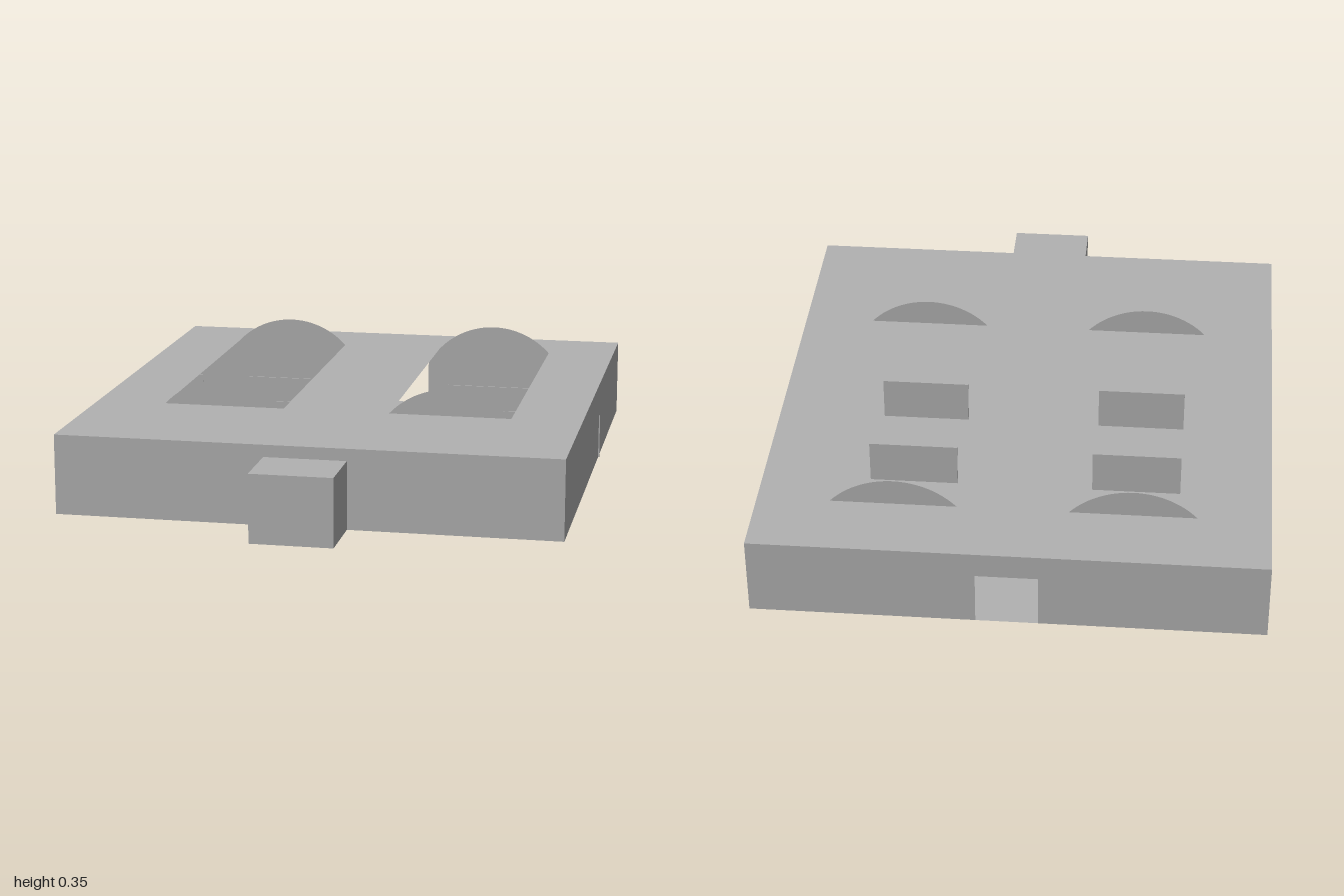
import * as THREE from 'three';

const W = 0.826, BACK = -1, FRONT = 0.79, H = 0.265; // hall extents

export function createModel() {
  const group = new THREE.Group();
  const grey = new THREE.MeshStandardMaterial({ color: 0xb2b2b2, side: THREE.DoubleSide });
  grey.name = 'plain grey';

  const add = (name, geometry, x = 0, y = 0, z = 0) => {
    const mesh = new THREE.Mesh(geometry, grey);
    mesh.name = name;
    mesh.position.set(x, y, z);
    group.add(mesh);
    return mesh;
  };
  const rect = (Type, x0, y0, x1, y1) => new Type([
    new THREE.Vector2(x0, y0), new THREE.Vector2(x1, y0),
    new THREE.Vector2(x1, y1), new THREE.Vector2(x0, y1),
  ]);

  // Floor
  const depth = FRONT - BACK, midZ = (FRONT + BACK) / 2;
  add('floor', new THREE.PlaneGeometry(2 * W, depth).rotateX(Math.PI / 2), 0, 0, midZ);

  // Roof with two long skylight openings
  const lightIn = 0.18, lightOut = 0.59, lightBack = -0.76, lightFront = 0.295;
  const roof = rect(THREE.Shape, -W, -FRONT, W, -BACK);
  roof.holes.push(
    rect(THREE.Path, lightIn, -lightFront, lightOut, -lightBack),
    rect(THREE.Path, -lightOut, -lightFront, -lightIn, -lightBack),
  );
  add('roof', new THREE.ShapeGeometry(roof).rotateX(-Math.PI / 2), 0, H, 0);

  // Front wall and side walls
  add('frontWall', new THREE.PlaneGeometry(2 * W, H), 0, H / 2, FRONT);
  for (const s of [-1, 1]) {
    add('sideWall', new THREE.PlaneGeometry(depth, H).rotateY(s * Math.PI / 2), s * W, H / 2, midZ);
  }

  // Back wall with a doorway
  const back = new THREE.Shape();
  [[-W, 0], [-0.1, 0], [-0.1, 0.18], [0.1, 0.18], [0.1, 0], [W, 0], [W, H], [-W, H]]
    .forEach(([x, y], i) => (i ? back.lineTo(x, y) : back.moveTo(x, y)));
  add('backWall', new THREE.ShapeGeometry(back).rotateY(Math.PI), 0, 0, BACK);

  // Porch block
  add('porch', new THREE.BoxGeometry(0.27, 0.225, 0.21), 0, 0.1125, 0.895);

  // Arched gables at both ends of each skylight
  const half = (lightOut - lightIn) / 2, rise = 0.09;
  const radius = (half * half + rise * rise) / (2 * rise);
  const spread = Math.asin(half / radius);
  const arch = new THREE.Shape();
  arch.absarc(0, rise - radius, radius, Math.PI / 2 - spread, Math.PI / 2 + spread, false);
  for (const s of [-1, 1]) {
    for (const z of [lightBack, lightFront]) {
      const gable = new THREE.ShapeGeometry(arch, 12);
      if (z === lightBack) gable.rotateY(Math.PI);
      add('skylightGable', gable, s * (lightIn + half), H, z);
    }
  }

  // Low partitions under the skylights
  const screenH = 0.15, thick = 0.005;
  for (const s of [-1, 1]) {
    for (const z of [-0.665, -0.285, 0.09]) {
      add('partition', new THREE.BoxGeometry(0.3, screenH, thick), s * 0.38, screenH / 2, z);
    }
  }

  // Short stubs that pass just through the side walls
  for (const [s, z] of [[-1, -0.665], [-1, 0.09], [1, -0.285]]) {
    add('wallStub', new THREE.BoxGeometry(0.12, screenH, thick), s * 0.77, screenH / 2, z);
  }

  return group;
}
